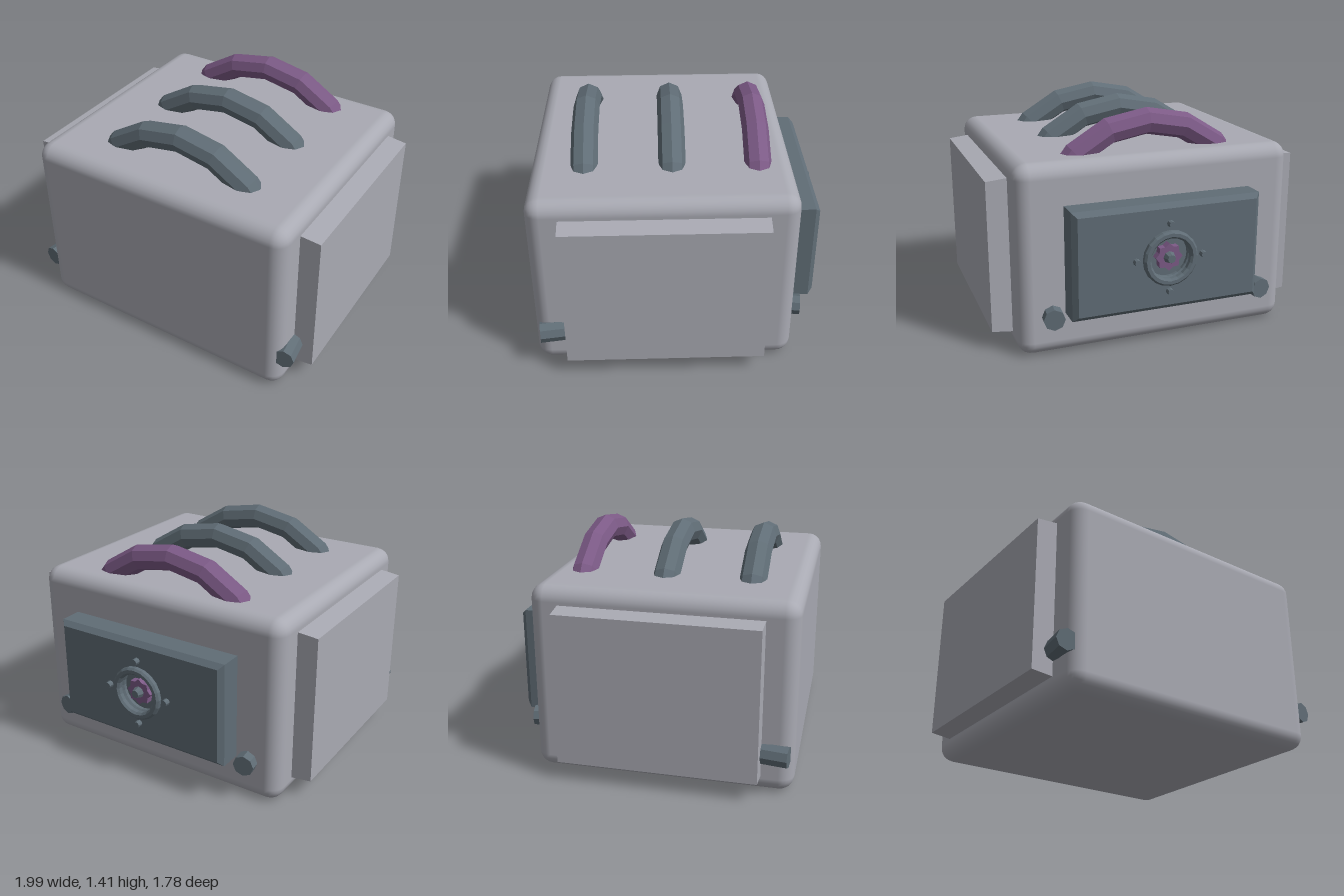
import * as THREE from 'three';
import { RoundedBoxGeometry } from 'three/addons/geometries/RoundedBoxGeometry.js';

export function createModel() {
  const model = new THREE.Group();
  const mat = (name, color, flatShading = true) => {
    const m = new THREE.MeshStandardMaterial({ color, flatShading });
    m.name = name;
    return m;
  };
  const shell = mat('light grey shell', 0xa9aab3, false);
  const steel = mat('dark slate', 0x606d76);
  const purple = mat('muted purple', 0x7c5a86);

  const add = (name, geometry, material, x = 0, y = 0, z = 0) => {
    const mesh = new THREE.Mesh(geometry, material);
    mesh.name = name;
    mesh.position.set(x, y, z);
    model.add(mesh);
    return mesh;
  };

  // Body
  add('body', new RoundedBoxGeometry(1.74, 1.17, 1.58, 3, 0.09), shell, 0, 0.585, 0.1);

  // Side panels, narrowing slightly toward the outside
  for (const side of [1, -1]) {
    const g = new THREE.BoxGeometry(0.18, 0.97, 1.21);
    const p = g.attributes.position;
    for (let i = 0; i < p.count; i++) {
      if (p.getX(i) * side > 0) p.setXYZ(i, p.getX(i), p.getY(i) * 0.96, p.getZ(i) * 0.99);
    }
    g.computeVertexNormals();
    add(side > 0 ? 'leftPanel' : 'rightPanel', g, shell, side * 0.905, 0.585, 0.095);
  }

  // Arched handles sunk into the lid
  const arc = Math.PI * 0.7;
  [[0.565, steel], [0.04, steel], [-0.475, purple]].forEach(([z, material], i) => {
    const g = new THREE.TorusGeometry(0.67, 0.082, 8, 6, arc);
    g.rotateZ(Math.PI / 2 - arc / 2);
    add('handle' + (i + 1), g, material, 0, 0.66, z);
  });

  // Corner pegs, splayed outward
  const peg = (name, x, z, length, lean, dir) => {
    const g = new THREE.CylinderGeometry(0.065, 0.065, length, 8);
    g.rotateX(dir * Math.PI / 2);
    g.rotateY(lean);
    add(name, g, steel, x, 0.255, z);
  };
  for (const side of [1, -1]) {
    peg('frontPeg', side * 0.87, 0.76, 0.2, side * 0.14, 1);
    peg('backPeg', side * 0.67, -0.70, 0.12, -side * 0.12, -1);
  }

  // Rear housing with a round recess
  const cy = 0.59, hw = 0.56, hh = 0.3;
  const plate = new THREE.Shape([
    new THREE.Vector2(-hw, -hh), new THREE.Vector2(hw, -hh),
    new THREE.Vector2(hw, hh), new THREE.Vector2(-hw, hh),
  ]);
  plate.holes.push(new THREE.Path().absarc(0, 0, 0.16, 0, Math.PI * 2, true));
  add('rearHousing', new THREE.ExtrudeGeometry(plate, {
    depth: 0.135, bevelSize: 0.03, bevelThickness: 0.03, bevelSegments: 1, curveSegments: 12,
  }), steel, 0, cy, -0.825);

  // Discs facing the rear
  const disc = (name, r1, r2, depth, sides, material, x, y, z) => {
    const g = new THREE.CylinderGeometry(r1, r2, depth, sides);
    g.rotateX(-Math.PI / 2);
    add(name, g, material, x, y, z);
  };
  disc('recessFloor', 0.14, 0.14, 0.04, 20, steel, 0, cy, -0.785);

  // Raised ring around the recess
  const profile = [[0.125, 0], [0.17, 0], [0.17, 0.025], [0.158, 0.037], [0.137, 0.037], [0.125, 0.025], [0.125, 0]];
  const ring = new THREE.LatheGeometry(profile.map(([r, y]) => new THREE.Vector2(r, y)), 20);
  ring.rotateX(-Math.PI / 2);
  add('recessRing', ring, steel, 0, cy, -0.853);

  // Notched knob and its hub
  const notches = [];
  for (let i = 0; i < 16; i++) {
    const a = (i / 16) * Math.PI * 2, r = i % 2 ? 0.068 : 0.085;
    notches.push(new THREE.Vector2(Math.cos(a) * r, Math.sin(a) * r));
  }
  add('knob', new THREE.ExtrudeGeometry(new THREE.Shape(notches), { depth: 0.05, bevelEnabled: false }),
    purple, 0, cy, -0.85);
  disc('knobHub', 0.025, 0.038, 0.04, 8, steel, 0, cy, -0.868);

  // Four screws around the ring
  for (let i = 0; i < 4; i++) {
    const a = i * Math.PI / 2;
    disc('screw', 0.018, 0.022, 0.04, 8, steel, Math.cos(a) * 0.21, cy + Math.sin(a) * 0.21, -0.866);
  }
  return model;
}
